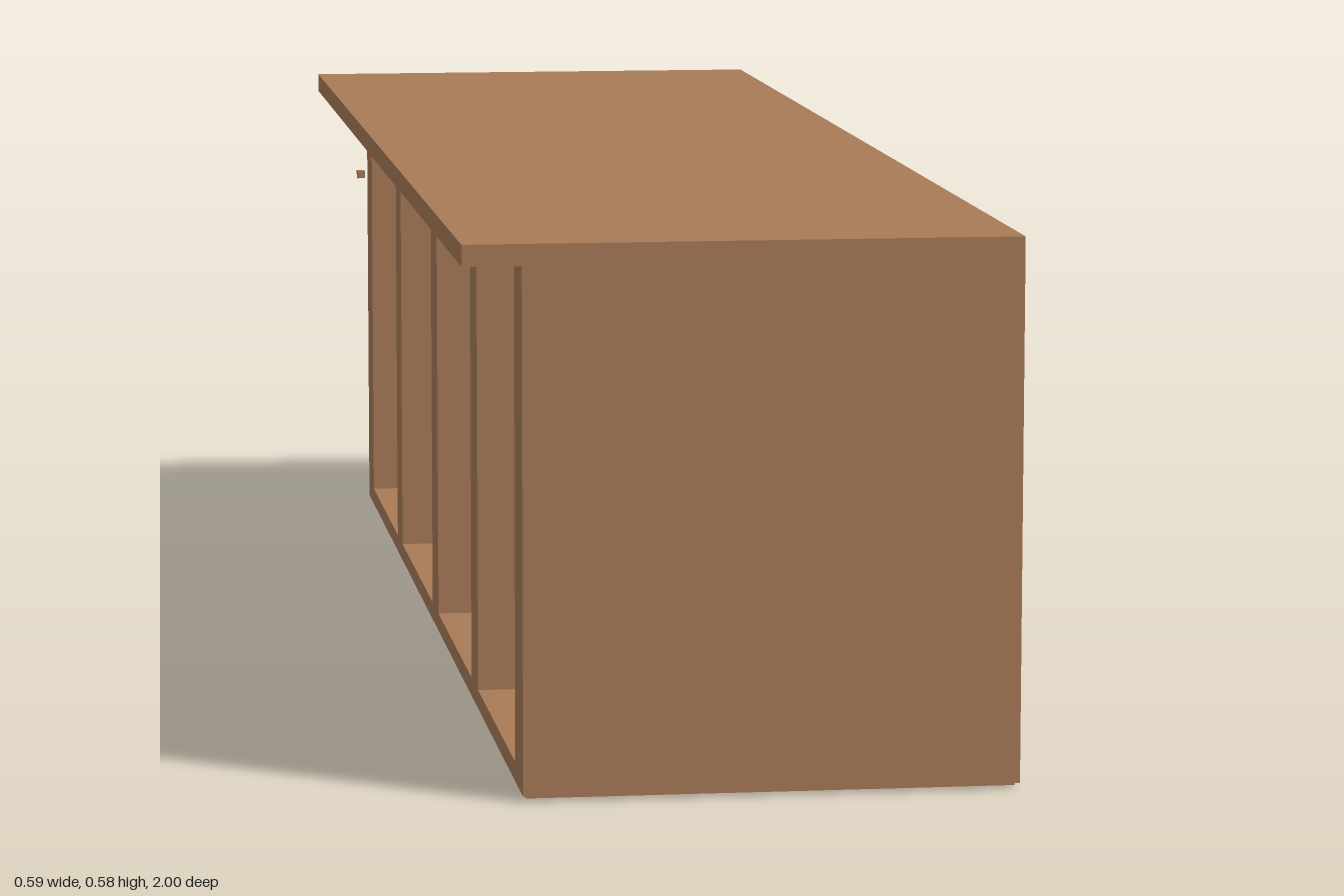
import * as THREE from 'three';

export function createModel() {
  const group = new THREE.Group();
  group.name = 'counterCabinet';
  const wood = new THREE.MeshStandardMaterial({ color: 0xa97b58 });
  wood.name = 'brown wood';

  // Box given by its extents on each axis
  function panel(name, [x0, x1], [y0, y1], [z0, z1]) {
    const mesh = new THREE.Mesh(new THREE.BoxGeometry(x1 - x0, y1 - y0, z1 - z0), wood);
    mesh.position.set((x0 + x1) / 2, (y0 + y1) / 2, (z0 + z1) / 2);
    mesh.name = name;
    group.add(mesh);
  }

  const openX = -0.232, backX = 0.294, innerX = 0.274;
  const bottom = 0.006, floorY = 0.027, topY = 0.562;
  const endBack = -0.94, endFront = 1;

  // Worktop overhanging the open side and one end
  panel('worktop', [-0.294, backX], [topY, 0.585], [-1, 1]);

  // Slightly inset base, floor and closed long wall
  panel('base', [openX + 0.005, backX - 0.002], [0, bottom], [endBack + 0.018, endFront - 0.018]);
  panel('floor', [openX, backX], [bottom, floorY], [endBack, endFront]);
  panel('longWall', [innerX, backX], [floorY, topY], [endBack, endFront]);

  // Thick end walls and dividers forming four open bays
  const uprights = [
    ['endWallBack', endBack, -0.865],
    ['dividerBack', -0.49, -0.42],
    ['dividerMiddle', -0.005, 0.07],
    ['dividerFront', 0.467, 0.54],
    ['endWallFront', 0.925, endFront],
  ];
  for (const [name, z0, z1] of uprights) panel(name, [openX, innerX], [floorY, topY], [z0, z1]);

  // Thin rail below the worktop
  panel('topRail', [openX, openX + 0.02], [topY - 0.008, topY], [-0.865, 0.925]);

  // Small square knob just off the end post
  panel('knob', [-0.248, -0.238], [0.45, 0.46], [-0.922, -0.908]);

  return group;
}
